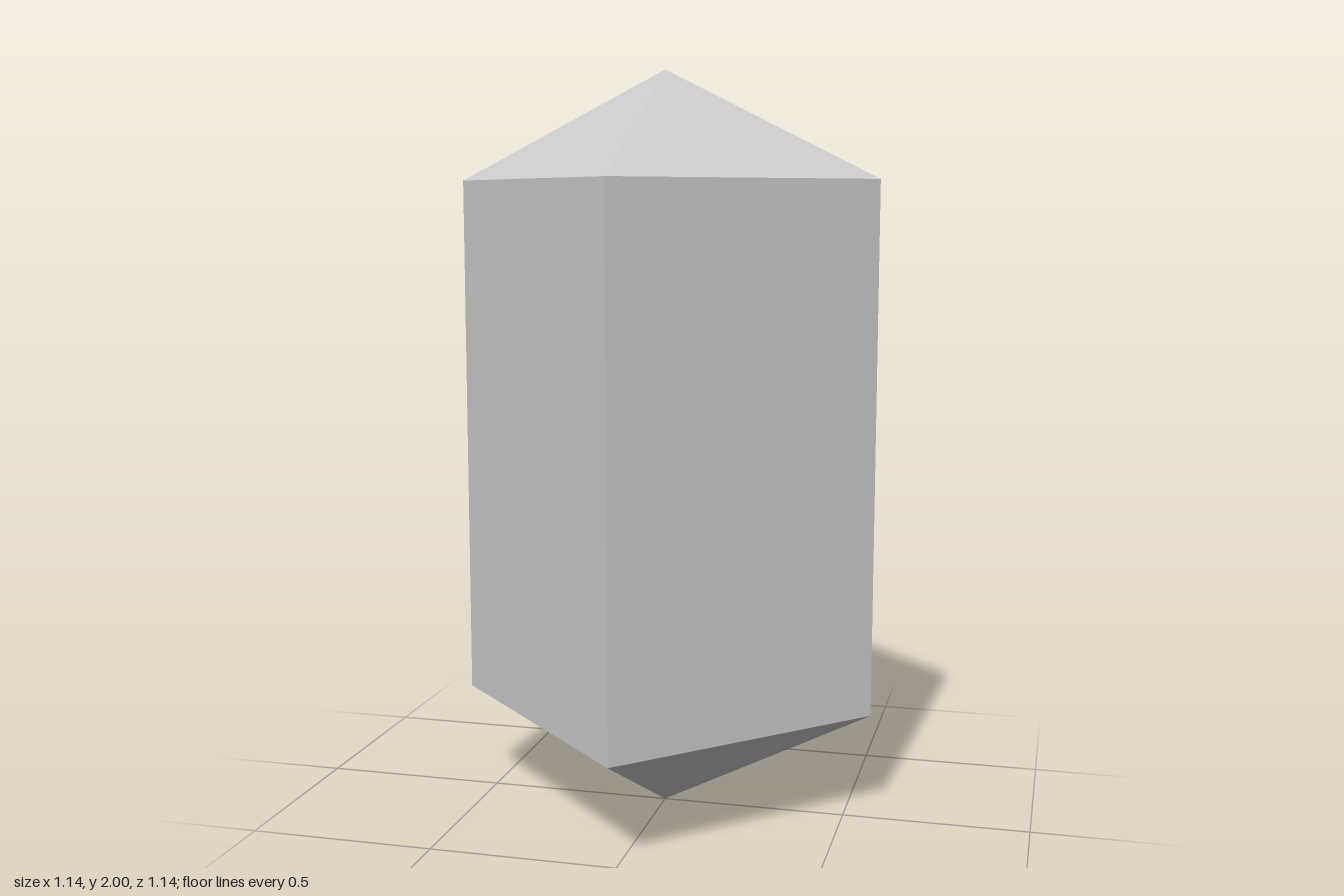
import * as THREE from 'three';

const RADIUS = 0.571; // centre to corner of the square section
const CAP = 0.286; // height of each pyramid tip
const HEIGHT = 2;
const SIDES = 4;

export function createModel() {
  const group = new THREE.Group();
  group.name = 'crystal';
  const material = new THREE.MeshStandardMaterial({ color: 0xcccccc, flatShading: true });

  const add = (name, geometry, y) => {
    const mesh = new THREE.Mesh(geometry, material);
    mesh.name = name;
    mesh.position.y = y;
    group.add(mesh);
    return mesh;
  };

  // Square prism with its corners on the x and z axes
  add('shaft', new THREE.CylinderGeometry(RADIUS, RADIUS, HEIGHT - 2 * CAP, SIDES, 1, true), HEIGHT / 2);

  // Pyramid tips, the lower one turned upside down
  const tip = new THREE.ConeGeometry(RADIUS, CAP, SIDES, 1, true);
  add('topTip', tip, HEIGHT - CAP / 2);
  add('bottomTip', tip, CAP / 2).rotation.x = Math.PI;

  return group;
}
